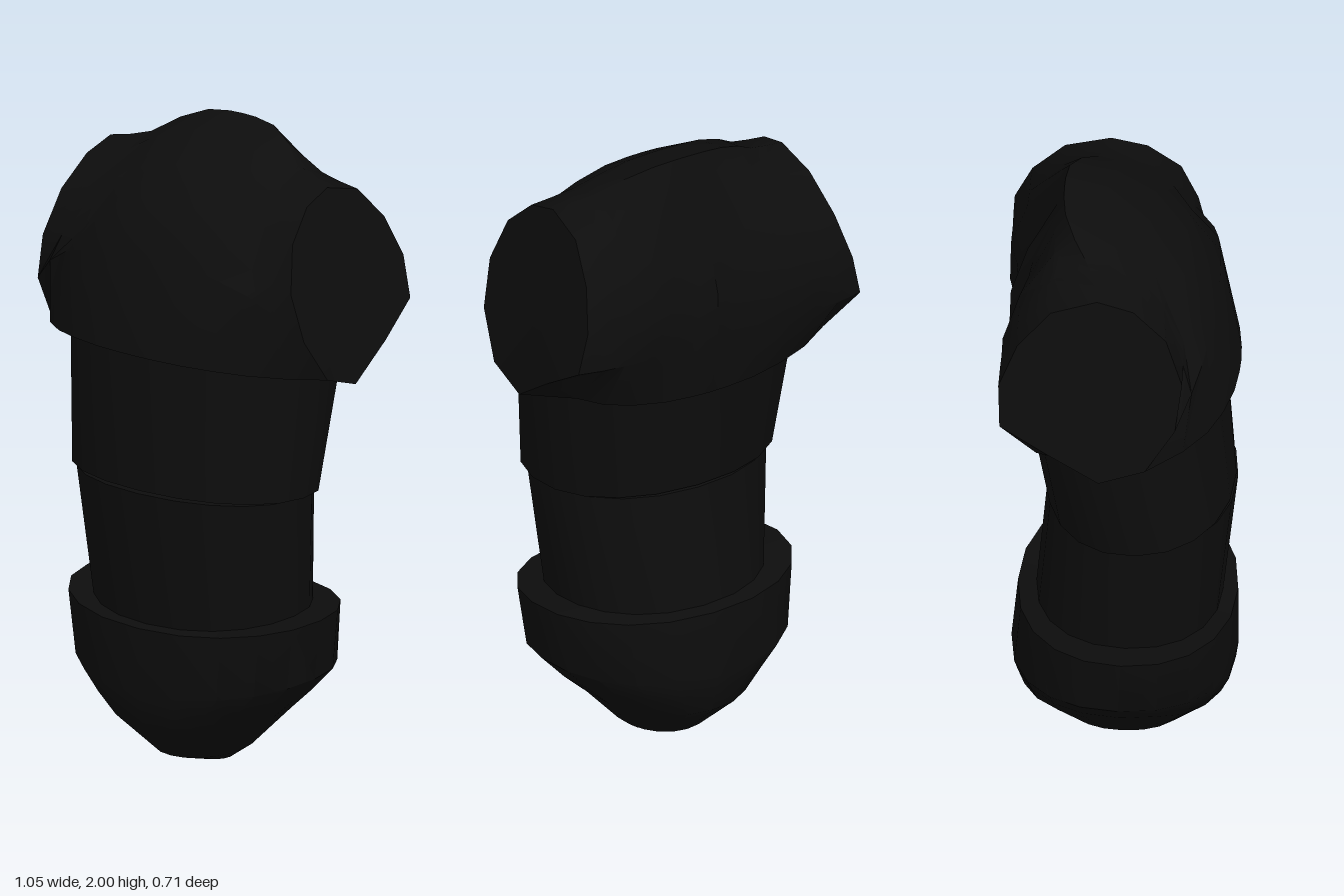
import * as THREE from 'three';
import { toCreasedNormals } from 'three/addons/utils/BufferGeometryUtils.js';

const black = new THREE.MeshStandardMaterial({ color: 0x0d0d0d });
black.name = 'black';

// Skin a list of closed rings and cap both ends.
function loft(name, rings) {
  const n = rings[0].length, pos = [], index = [];
  rings.forEach(r => r.forEach(p => pos.push(...p)));
  for (let i = 0; i < rings.length - 1; i++) {
    for (let j = 0; j < n; j++) {
      const a = i * n + j, b = i * n + (j + 1) % n;
      index.push(a, b, a + n, b, b + n, a + n);
    }
  }
  [0, rings.length - 1].forEach((i, end) => {
    const centre = [0, 1, 2].map(k => rings[i].reduce((s, p) => s + p[k], 0) / n);
    const c = pos.length / 3;
    pos.push(...centre);
    for (let j = 0; j < n; j++) {
      const a = i * n + j, b = i * n + (j + 1) % n;
      index.push(c, end ? a : b, end ? b : a);
    }
  });
  const geometry = new THREE.BufferGeometry();
  geometry.setAttribute('position', new THREE.Float32BufferAttribute(pos, 3));
  geometry.setIndex(index);
  const mesh = new THREE.Mesh(toCreasedNormals(geometry, 0.6), black);
  mesh.name = name;
  return mesh;
}

// Tilted oval: half width, front z and y, back z and y, optional lift of the sides.
function oval(w, zf, yf, zb, yb, lift = 0) {
  return Array.from({ length: 20 }, (_, j) => {
    const a = j / 20 * Math.PI * 2, c = Math.cos(a), s = -Math.sin(a);
    const round = v => Math.sign(v) * Math.abs(v) ** 0.93;
    const t = (round(s) + 1) / 2;
    return [w * round(c), yb + (yf - yb) * t + lift * c * c, zb + (zf - zb) * t];
  });
}

// Chest: middle profile blends into the flat shoulder cap on each side (z, y pairs).
function chest() {
  const middle = [[.355, 1.37], [.29, 1.67], [.19, 1.82], [.08, 1.9], [-.05, 1.97], [-.18, 2],
    [-.2, 1.94], [-.28, 1.76], [-.33, 1.6], [-.335, 1.45], [-.3, 1.25], [0, 1.3]];
  const cap = [[.09, 1.33], [.18, 1.47], [.2, 1.62], [.15, 1.76], [.05, 1.85], [-.06, 1.88],
    [-.2, 1.84], [-.3, 1.73], [-.355, 1.6], [-.35, 1.47], [-.2, 1.38], [-.05, 1.28]];
  // width fraction, blend of the front, blend of the top, spine groove
  const stations = [[0, 0, 0, -.012], [.12, .01, .01, .008], [.3, .05, .08, 0], [.5, .16, .35, -.02],
    [.68, .32, .75, -.015], [.84, .58, .9, -.01], [1, 1, 1, 0]];
  const ring = ([f, front, top, groove], side) => middle.map(([z, y], j) => {
    const w = j >= 2 && j <= 6 ? top : front;
    const [cz, cy] = cap[j];
    const capX = 0.525 - 0.23 * Math.max(0, cy - 1.38);
    const dz = j >= 7 && j <= 9 ? groove : 0;
    return [side * f * capX, y + (cy - y) * w, z + (cz - z) * w + dz];
  });
  return loft('chest', [
    ...stations.slice(1).reverse().map(s => ring(s, 1)),
    ...stations.map(s => ring(s, -1)),
  ]);
}

export function createModel() {
  const model = new THREE.Group();
  model.name = 'torso';
  model.add(
    chest(),
    loft('upperAbdomen', [oval(.41, .34, .938, -.23, .905), oval(.45, .31, 1.36, -.29, 1.25)]),
    loft('lowerAbdomen', [oval(.345, .3, .5, -.265, .5), oval(.385, .345, .93, -.23, .897)]),
    // Pelvis narrows quickly in width, keeping a round side outline.
    loft('pelvis', [
      oval(.03, .03, .002, -.03, .002),
      oval(.09, .07, .016, -.07, .016),
      oval(.135, .18, .05, -.17, .05),
      oval(.25, .31, .17, -.31, .175),
      oval(.33, .338, .24, -.33, .25),
      oval(.41, .345, .29, -.34, .3, .035),
      oval(.44, .345, .5, -.32, .51, .02),
    ]),
  );
  return model;
}
